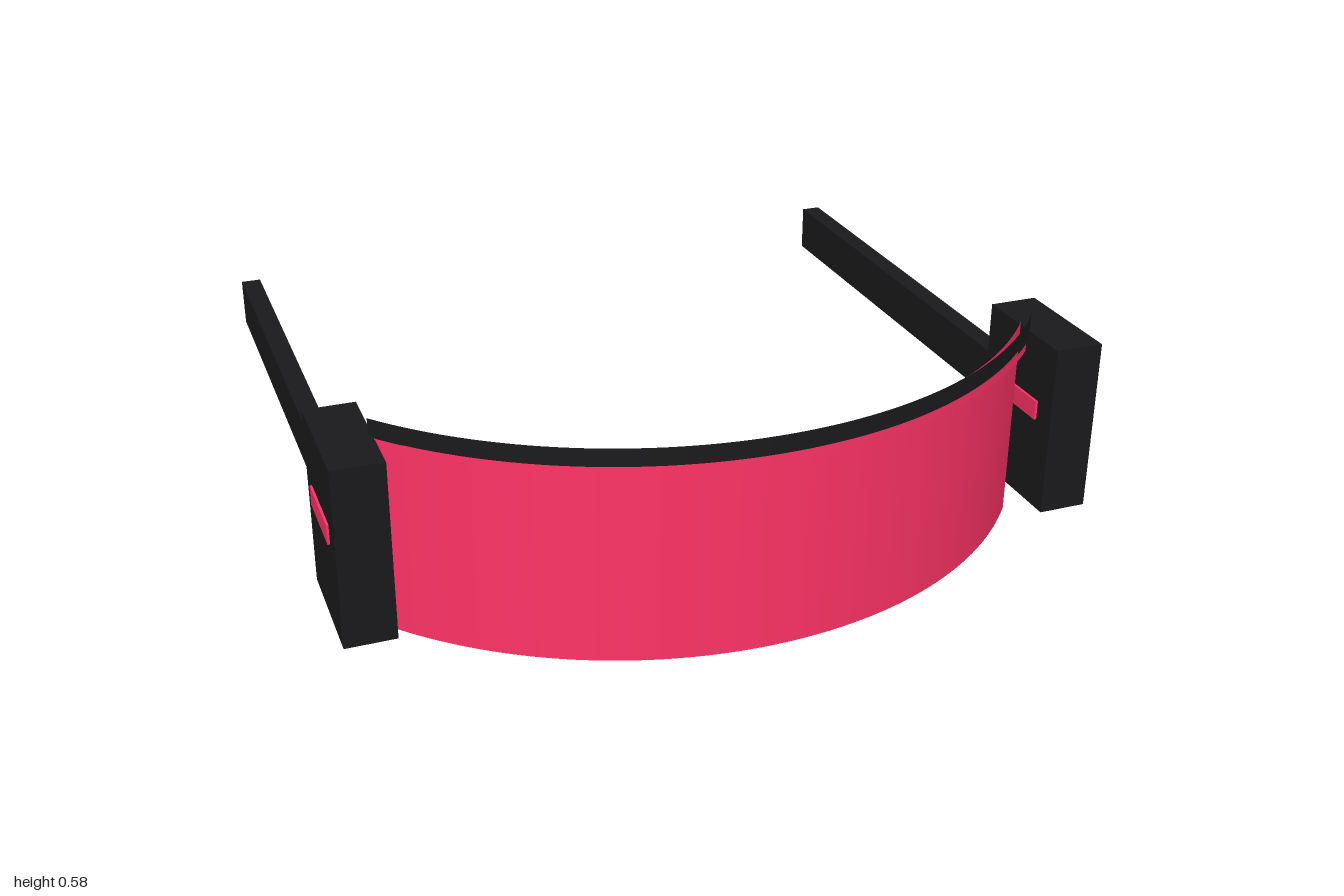
import * as THREE from 'three';

const dark = new THREE.MeshStandardMaterial({ color: 0x1a1a1c });
const pink = new THREE.MeshStandardMaterial({ color: 0xff3366 });
const darkSheet = new THREE.MeshStandardMaterial({ color: 0x1a1a1c, side: THREE.DoubleSide });
const pinkSheet = new THREE.MeshStandardMaterial({ color: 0xff3366, side: THREE.DoubleSide });

const ARC_CENTER_Z = -0.215;

// Thin curved band facing +z, spanning +-halfAngle degrees
function band(name, radius, halfAngle, y0, y1, material) {
  const a = THREE.MathUtils.degToRad(halfAngle);
  const geometry = new THREE.CylinderGeometry(radius, radius, y1 - y0, 64, 1, true, -a, 2 * a);
  const mesh = new THREE.Mesh(geometry, material);
  mesh.name = name;
  mesh.position.set(0, (y0 + y1) / 2, ARC_CENTER_Z);
  return mesh;
}

// Box given by its extents on each axis
function block(name, [x0, x1], [y0, y1], [z0, z1], material) {
  const mesh = new THREE.Mesh(new THREE.BoxGeometry(x1 - x0, y1 - y0, z1 - z0), material);
  mesh.name = name;
  mesh.position.set((x0 + x1) / 2, (y0 + y1) / 2, (z0 + z1) / 2);
  return mesh;
}

export function createModel() {
  const model = new THREE.Group();
  model.name = 'visorGlasses';

  // Curved lens with the brow trim and a slim accent strip in front of it
  model.add(
    band('lens', 1.115, 50, 0, 0.555, pinkSheet),
    band('browTrim', 1.14, 50, 0.53, 0.578, darkSheet),
    band('accentStrip', 1.15, 45, 0.517, 0.537, pinkSheet),
  );

  // Hinge housing, glowing slot and temple arm on each side
  for (const side of [1, -1]) {
    const span = (inner, outer) => (side > 0 ? [inner, outer] : [-outer, -inner]);
    const temple = new THREE.Group();
    temple.name = side > 0 ? 'leftTemple' : 'rightTemple';
    temple.add(
      block('hingeHousing', span(0.864, 0.994), [0.07, 0.537], [0.34, 0.667], dark),
      block('hingeSlot', span(0.857, 1), [0.315, 0.367], [0.402, 0.602], pink),
      block('templeArm', span(0.901, 0.955), [0.24, 0.37], [-0.935, 0.36], dark),
    );
    model.add(temple);
  }
  return model;
}
